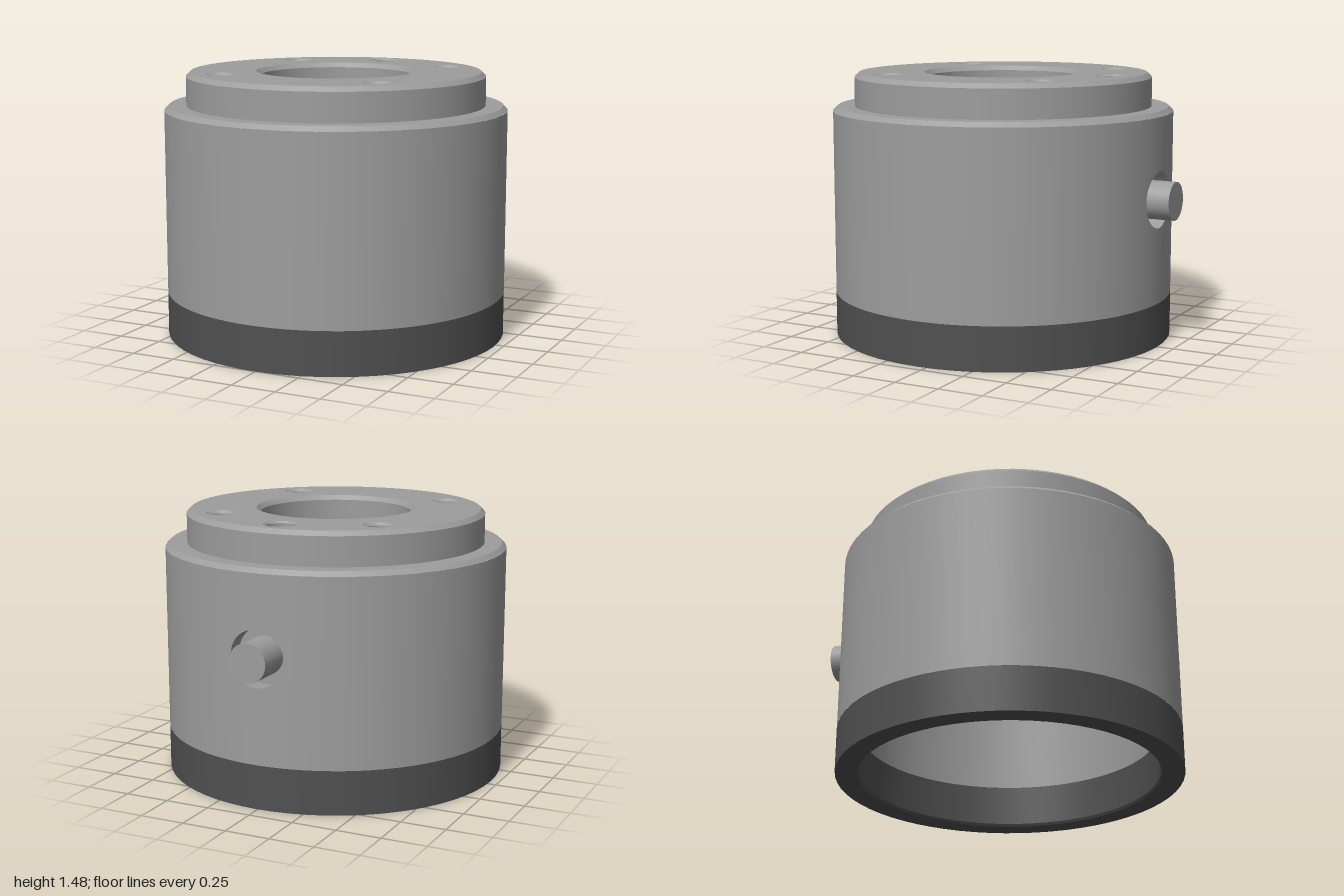
import * as THREE from 'three';
import { mergeGeometries } from 'three/addons/utils/BufferGeometryUtils.js';

const SEG = 64, R = 0.953, TOP = 1.475, BAND = 0.243, SHOULDER = 1.265;
const PIN_Y = 0.815, PIN_R = 0.105, RECESS_R = 0.155, PATCH = 0.25;
const grey = new THREE.MeshStandardMaterial({ color: 0x9d9d9d });
const dark = new THREE.MeshStandardMaterial({ color: 0x505050 });

// Lathe each profile segment separately so that edges stay sharp
function turn(profile, segs = SEG, start = 0, length = Math.PI * 2) {
  const parts = [];
  for (let i = 0; i < profile.length - 1; i++) {
    const pts = [profile[i], profile[i + 1]].map(([r, y]) => new THREE.Vector2(r, y));
    parts.push(new THREE.LatheGeometry(pts, segs, start, length));
  }
  return mergeGeometries(parts);
}

// Closed loops joined into a surface that faces the back
function backLoops(rows, n) {
  const index = [];
  for (let j = 0; j < rows.length - 1; j++) {
    for (let i = 0; i < n; i++) {
      const a = j * n + i, b = j * n + (i + 1) % n;
      index.push(a, b + n, a + n, a, b, b + n);
    }
  }
  const g = new THREE.BufferGeometry();
  g.setAttribute('position', new THREE.Float32BufferAttribute(rows.flat(2), 3));
  g.setIndex(index);
  g.computeVertexNormals();
  return g;
}

// A loop on the back wall, from the round recess (t = 0) to a full-height panel (t = 1)
function wallLoop(t, n, z) {
  return Array.from({ length: n }, (_, i) => {
    const a = (i / n) * Math.PI * 2, c = Math.cos(a), s = Math.sin(a);
    const m = Math.max(Math.abs(c), Math.abs(s));
    const reach = s > 0 ? SHOULDER - PIN_Y : PIN_Y - BAND;
    const x = THREE.MathUtils.lerp(c * RECESS_R, (c / m) * PATCH, t);
    const y = PIN_Y + THREE.MathUtils.lerp(s * RECESS_R, (s / m) * reach, t);
    return [x, y, z ?? -Math.sqrt(R * R - x * x)];
  });
}

export function createModel() {
  const model = new THREE.Group();
  const add = (name, geometry, material = grey) => {
    const mesh = new THREE.Mesh(geometry, material);
    mesh.name = name;
    model.add(mesh);
    return mesh;
  };

  // Dark band round the open bottom
  add('baseBand', turn([
    [0.822, BAND], [0.822, 0.015], [0.83, 0], [R, 0], [R, BAND],
  ]), dark);

  // Hollow inside
  add('cavity', turn([[0, 0.87], [0.79, 0.87], [0.822, 0.84], [0.822, BAND]]));

  // Outer wall, left open at the back for the panel with the pin recess
  const gap = Math.asin(PATCH / R);
  add('outerWall', turn([[R, BAND], [R, SHOULDER]], SEG, Math.PI + gap, 2 * (Math.PI - gap)));
  add('shoulder', turn([
    [R, SHOULDER], [0.928, 1.29], [0.832, 1.29], [0.832, 1.45], [0.807, TOP],
  ]));

  // Back panel, with the round normals of the wall it continues
  const n = 48;
  const panel = backLoops([0, 0.25, 0.5, 0.75, 1].map((t) => wallLoop(t, n)), n);
  const { position, normal } = panel.attributes;
  for (let i = 0; i < position.count; i++) {
    normal.setXYZ(i, position.getX(i) / R, 0, position.getZ(i) / R);
  }
  add('backPanel', panel);

  // Recess round the pin
  add('recessWall', backLoops([wallLoop(0, n, -0.85), wallLoop(0, n)], n));
  const floor = new THREE.CircleGeometry(RECESS_R, n).rotateY(Math.PI);
  add('recessFloor', floor.translate(0, PIN_Y, -0.85));

  // Pin standing out of the back
  const pin = new THREE.CylinderGeometry(PIN_R, PIN_R, 0.21, 32).rotateX(Math.PI / 2);
  add('pin', pin.translate(0, PIN_Y, -0.942));

  // Four drilled holes and one wider flat hole at the back
  const holes = [[1, 1], [-1, 1], [1, -1], [-1, -1]].map(([x, z]) => ({
    name: 'screwHole', x: x * 0.47, z: z * 0.47, r: 0.082,
    profile: [[0.082, TOP], [0.067, 1.46], [0.067, 1.22], [0, 1.18]],
  }));
  holes.push({
    name: 'dowelHole', x: 0, z: -0.665, r: 0.092,
    profile: [[0.092, TOP], [0.083, 1.465], [0.083, 1.25], [0, 1.25]],
  });

  // Top face pierced by the holes and the central bore
  const face = new THREE.Shape().absarc(0, 0, 0.807, 0, Math.PI * 2);
  const pierce = (x, z, r) => face.holes.push(new THREE.Path().absarc(x, -z, r, 0, Math.PI * 2, true));
  pierce(0, 0, 0.443);
  for (const h of holes) {
    pierce(h.x, h.z, h.r);
    add(h.name, turn(h.profile, 32).translate(h.x, 0, h.z));
  }
  add('topFace', new THREE.ShapeGeometry(face, 32).rotateX(-Math.PI / 2).translate(0, TOP, 0));

  // Shallow central bore with a bevelled rim
  add('centralBore', turn([[0.443, TOP], [0.42, 1.45], [0.42, 1.265], [0, 1.265]]));

  // The body sits forward so that body and pin together are centred
  model.children.forEach((part) => { part.position.z = 0.047; });
  return model;
}
